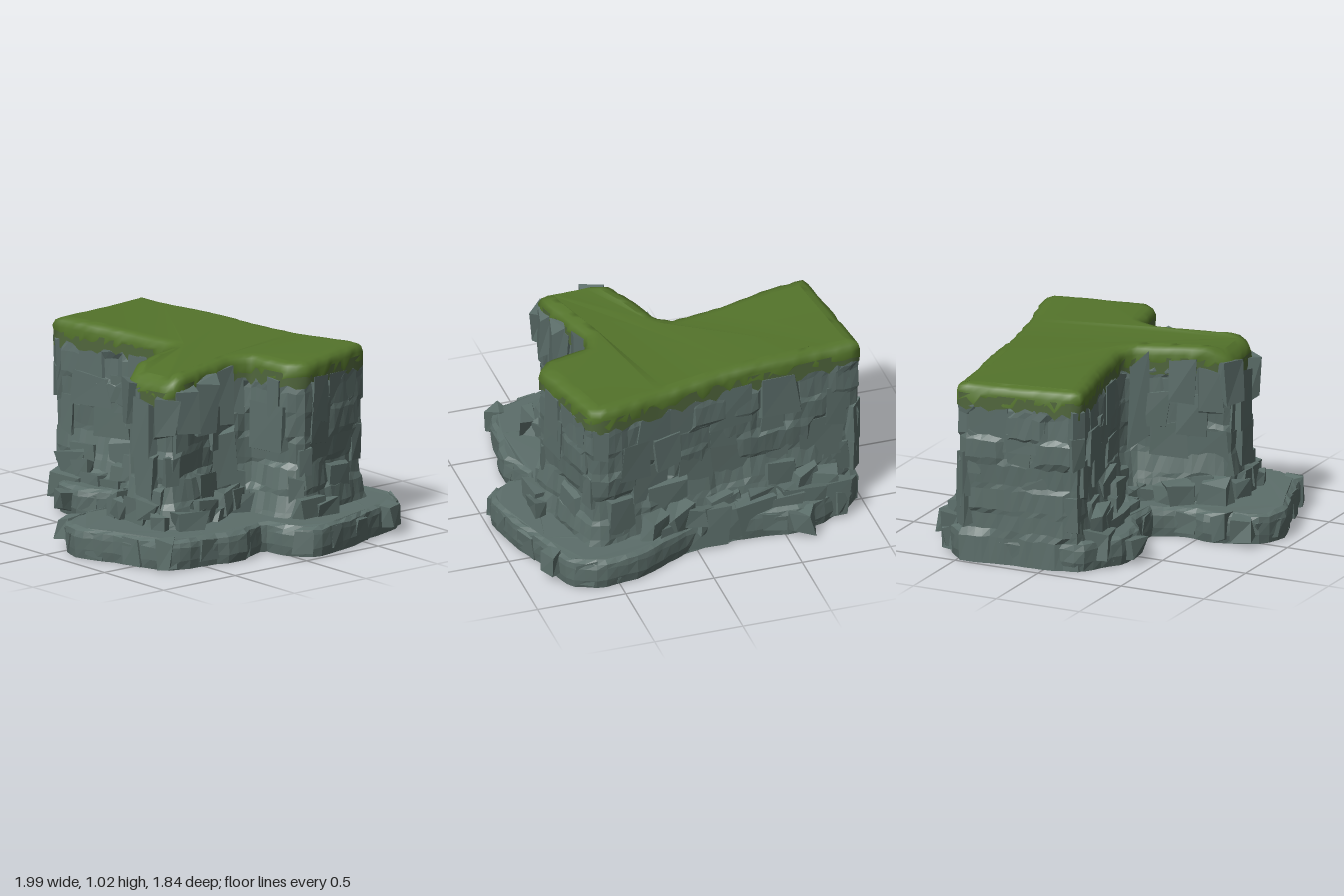
import * as THREE from 'three';
import { mergeGeometries } from 'three/addons/utils/BufferGeometryUtils.js';

// seeded random numbers
let seed = 7;
const rnd = () => {
  seed = (seed * 1664525 + 1013904223) % 4294967296;
  return seed / 4294967296;
};
const range = (a, b) => a + (b - a) * rnd();

// T-shaped cliff outline and wider plinth outline, as x, z pairs
const CLIFF = [-0.975, -0.48, -0.95, -0.25, -0.92, 0, -0.89, 0.18, -0.7, 0.15, -0.4, 0.08, -0.1, 0.03, -0.01, 0.08,
  0.06, 0.28, 0.14, 0.46, 0.19, 0.55, 0.47, 0.53, 0.48, 0.42, 0.42, 0.2, 0.37, 0.02, 0.42, -0.1, 0.65, -0.14,
  0.715, -0.22, 0.66, -0.42, 0.59, -0.71, 0.5, -0.72, 0.2, -0.64, 0, -0.6, -0.2, -0.56, -0.5, -0.53, -0.8, -0.5];
const PLINTH = [-0.97, -0.49, -0.94, -0.2, -0.89, 0.2, -0.78, 0.24, -0.68, 0.33, -0.5, 0.36, -0.35, 0.27, -0.16, 0.27,
  -0.1, 0.4, -0.1, 0.62, -0.02, 0.8, 0.02, 0.87, 0.15, 0.91, 0.38, 0.83, 0.67, 0.75, 0.75, 0.55, 0.77, 0.25, 0.69, 0.04,
  0.9, 0.01, 0.985, -0.09, 0.93, -0.4, 0.84, -0.62, 0.77, -0.84, 0.6, -0.91, 0.36, -0.87, 0.2, -0.78, 0, -0.69,
  -0.3, -0.69, -0.6, -0.73, -0.86, -0.6];

// evenly spaced outline points with outward directions
function outline(list, count) {
  const pts = [];
  for (let i = 0; i < list.length; i += 2) pts.push(new THREE.Vector3(list[i], 0, list[i + 1]));
  const curve = new THREE.CatmullRomCurve3(pts, true, 'catmullrom', 0.1);
  const p = curve.getSpacedPoints(count).slice(0, count);
  return p.map((q, i) => {
    const t = p[(i + 1) % count].clone().sub(p[(i + count - 1) % count]).normalize();
    return { x: q.x, z: q.z, nx: -t.z, nz: t.x };
  });
}

// skin between closed rings listed from bottom to top, with optional caps
function loft(rings, capBottom, capTop) {
  const n = rings[0].length, index = [];
  for (let r = 0; r < rings.length - 1; r++) {
    for (let j = 0; j < n; j++) {
      const a = r * n + j, b = r * n + (j + 1) % n;
      index.push(a, b, b + n, a, b + n, a + n);
    }
  }
  const cap = (r, flip) => {
    const flat = rings[r].map(p => new THREE.Vector2(p[0], -p[2]));
    for (const [a, b, c] of THREE.ShapeUtils.triangulateShape(flat, [])) {
      const o = r * n;
      if (flip) index.push(o + a, o + c, o + b);
      else index.push(o + a, o + b, o + c);
    }
  };
  if (capBottom) cap(0, true);
  if (capTop) cap(rings.length - 1, false);
  const g = new THREE.BufferGeometry();
  g.setAttribute('position', new THREE.Float32BufferAttribute(rings.flat(2), 3));
  g.setIndex(index);
  g.computeVertexNormals();
  return g;
}
const push = (p, off, y) => [p.x + p.nx * off, y, p.z + p.nz * off];

// box with shifted corners
function stone(x, y, z, w, h, d, turn, rough = 0.2) {
  const g = new THREE.BoxGeometry(1, 1, 1), pos = g.attributes.position;
  const shift = Array.from({ length: 8 }, () => [range(-rough, rough), range(-rough, rough), range(-rough, rough)]);
  for (let i = 0; i < pos.count; i++) {
    const c = [pos.getX(i), pos.getY(i), pos.getZ(i)];
    const s = shift[(c[0] > 0 ? 1 : 0) + (c[1] > 0 ? 2 : 0) + (c[2] > 0 ? 4 : 0)];
    pos.setXYZ(i, (c[0] + s[0]) * w, (c[1] + s[1]) * h, (c[2] + s[2]) * d);
  }
  g.rotateY(turn);
  g.translate(x, y, z);
  for (let i = 0; i < pos.count; i++) pos.setY(i, Math.max(0.003, pos.getY(i)));
  return g;
}

// outward flare of the wall; the left end is cut sheer and the back right corner is steep
const steep = p => p.x > 0.3 && p.z < -0.3;
const flare = (p, y) => {
  const foot = THREE.MathUtils.smoothstep(p.x, -0.95, -0.7) * (steep(p) ? 0.06 : 0.12);
  return y < 0.45 ? foot * Math.pow((0.45 - y) / 0.45, 1.3) : 0.015 * Math.sin((y - 0.45) * 6);
};
// the grass dips toward the tip of the front arm
const dip = z => Math.max(0, z - 0.45) * 0.5;

export function createModel() {
  seed = 7;
  const model = new THREE.Group();
  const rock = new THREE.MeshStandardMaterial({ color: 0x5c6e6a, flatShading: true });
  rock.name = 'grey stone';
  const grass = new THREE.MeshStandardMaterial({ color: 0x54742b, side: THREE.DoubleSide });
  grass.name = 'grass green';
  const moss = new THREE.MeshStandardMaterial({ color: 0x50663c, side: THREE.DoubleSide });
  moss.name = 'mossy stone';
  const add = (name, geometry, material) => {
    const m = new THREE.Mesh(geometry, material);
    m.name = name;
    model.add(m);
  };

  // cliff wall with blocky steps
  const N = 130, edge = outline(CLIFF, N);
  const heights = [0, 0.15, 0.19, 0.28, 0.31, 0.42, 0.45, 0.56, 0.6, 0.7, 0.73, 0.84, 0.88, 0.95];
  const blocks = Array.from({ length: 7 }, () => {
    const start = Math.floor(range(0, 5));
    const out = Array.from({ length: 30 }, () => range(-0.013, 0.013));
    return j => out[Math.floor((j + start) / 5)];
  });
  add('cliffWall', loft(heights.map((y, r) => edge.map((p, j) =>
    push(p, flare(p, y) + blocks[Math.floor(r / 2)](j) + range(-0.003, 0.003),
      y && y - dip(p.z) * y + range(-0.008, 0.008)))), true, true), rock);

  // broad stones set into the wall, narrower where it turns
  const wall = [];
  for (let y = 0.3; y < 0.9; y += 0.17) {
    for (let j = Math.floor(range(0, 5)); j < N; j += Math.floor(range(5, 10))) {
      if (rnd() < 0.15) continue;
      const p = edge[j], a = edge[(j + N - 2) % N], b = edge[(j + 2) % N];
      const bent = a.nx * b.nx + a.nz * b.nz < 0.92;
      const h = range(0.14, 0.25), d = 0.05;
      const cy = Math.min(y + range(-0.03, 0.03), 0.9 - h / 2);
      const [x, , z] = push(p, flare(p, cy) - d / 2 + (p.x < -0.85 ? 0 : range(0.004, 0.014)), 0);
      wall.push(stone(x, cy, z, bent ? 0.08 : range(0.12, 0.24), h, d, Math.atan2(p.nx, p.nz), 0.11));
    }
  }
  // slabs standing proud round the front arm: x, z, top, height, turn
  for (const [x, z, top, h, turn] of [[0.08, 0.33, 0.94, 0.22, -1.2], [0.13, 0.47, 0.9, 0.26, -1], [0.47, 0.27, 0.95, 0.28, 1.35],
    [0.49, 0.42, 0.92, 0.22, 1.3], [0.47, 0.54, 0.87, 0.2, 0.8], [0.19, 0.56, 0.92, 0.2, -0.4], [0.0, 0.1, 0.93, 0.45, -0.9],
    [0.4, 0.12, 0.95, 0.28, 1.3], [0.42, 0.1, 0.62, 0.3, 1.1], [0.32, 0.56, 0.84, 0.3, 0.05], [0.33, 0.55, 0.56, 0.22, 0.05]]) {
    wall.push(stone(x, top - h / 2, z, 0.13, h, 0.07, turn, 0.14));
  }
  add('wallStones', mergeGeometries(wall), rock);

  // flat ragged plinth
  const M = 110, rim = outline(PLINTH, M);
  const bulge = rim.map(() => range(-0.014, 0.014));
  add('plinth', loft([[0, -0.005], [0.05, 0.005], [0.12, 0.006], [0.15, 0], [0.165, -0.025]].map(([y, off], r) =>
    rim.map((p, j) => push(p, off + (p.x < -0.86 ? 0 : bulge[Math.floor(j / 3) * 3]) + range(-0.004, 0.004),
      y && y + range(-0.006, 0.006)))), true, true), rock);

  // plates along the plinth edge, with a few chunks standing out
  const rubble = [];
  for (let j = 0; j < M; j += 4) {
    const p = rim[j];
    if (p.x < -0.86) continue;
    const [x, , z] = push(p, -0.035, 0);
    rubble.push(stone(x, range(0.075, 0.085), z, range(0.08, 0.14), range(0.1, 0.14), 0.07, Math.atan2(p.nx, p.nz), 0.15));
  }
  for (const [x, z, s, turn] of [[-0.58, -0.73, 0.1, 1.4], [-0.83, -0.59, 0.09, 0.5], [-0.6, 0.365, 0.09, 1.3],
    [-0.08, 0.77, 0.08, 0.2], [0.83, -0.72, 0.08, 0.3], [0.66, 0.71, 0.09, 0.6], [-0.09, 0.65, 0.07, 0.1]]) {
    rubble.push(stone(x, 0.09, z, s, 0.13, s * 1.2, turn));
  }
  // fallen rocks heaped against the foot of the wall, sparse round the right end
  for (let j = 0; j < N; j += 2) {
    const p = edge[j];
    if (p.x < -0.76 || steep(p) || (p.x > 0.3 && p.z < 0 && rnd() < 0.6)) continue;
    const out = range(0.05, 0.1), s = range(0.07, 0.12);
    const [x, , z] = push(p, out, 0);
    rubble.push(stone(x, 0.28 - out + range(-0.04, 0.04), z, s * 1.4, s * 1.2, s * 0.7,
      Math.atan2(p.nx, p.nz) + range(-0.3, 0.3)));
  }
  // stepped ledges behind and before the long arm
  for (let i = 0; i < 6; i++) {
    const x = -0.77 + i * 0.14;
    rubble.push(stone(x, 0.13, -0.6 - 0.012 * i, 0.22, 0.2, 0.11, range(-0.1, 0.1), 0.12));
    if (i < 4) rubble.push(stone(x + 0.06, 0.12, 0.22 - 0.025 * i, 0.2, 0.17, 0.12, range(-0.1, 0.3), 0.14));
  }
  add('rubble', mergeGeometries(rubble), rock);

  // stained band below the turf
  add('mossBand', loft([
    edge.map(p => push(p, flare(p, 0.88) + 0.012, range(0.85, 0.9) - dip(p.z))),
    edge.map(p => push(p, 0.02, 0.955 - dip(p.z)))], false, false), moss);

  // turf with ragged skirt, rounded rim and gently uneven top
  const hang = edge.map(() => range(0.89, 0.945));
  const turf = (off, y, jitter) => edge.map(p => {
    const [x, , z] = push(p, off + range(-jitter, jitter), 0);
    return [x, y - dip(z) + 0.006 * Math.sin(x * 7 + z * 4) + range(-jitter, jitter) / 3, z];
  });
  add('grassTop', loft([
    edge.map((p, j) => push(p, 0.02 + range(-0.006, 0.006), hang[j] - dip(p.z))),
    turf(0.022, 0.965, 0.007), turf(0.008, 0.995, 0.005), turf(-0.02, 1.006, 0.002),
    turf(-0.05, 1.01, 0)], false, true), grass);

  return model;
}
